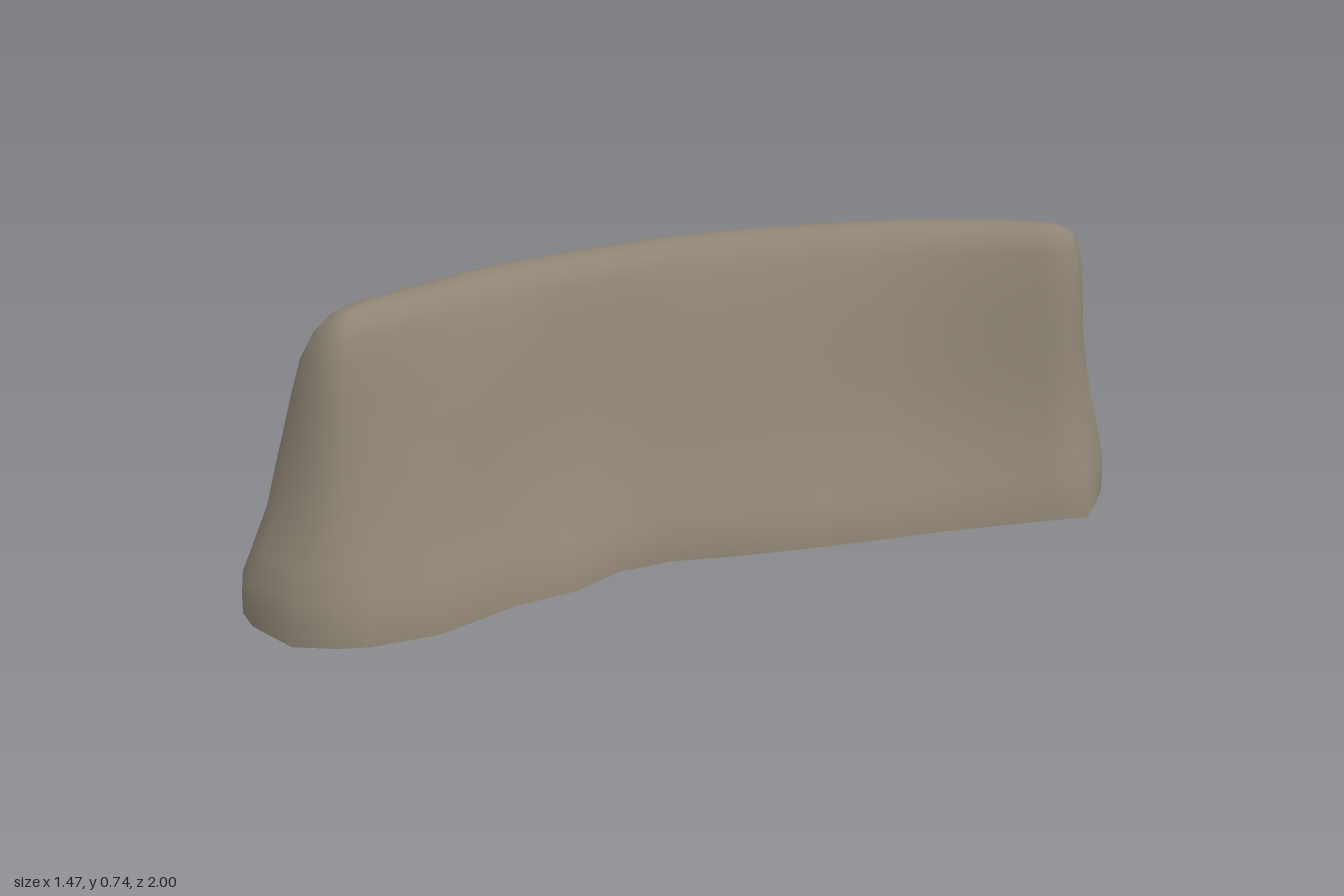
import * as THREE from 'three';
import { mergeVertices } from 'three/addons/utils/BufferGeometryUtils.js';

// Stations along the curved wall: outer foot x,z, inner foot x,z, ridge x,z
const STATIONS = [
  [-0.45, 1.0, -0.45, 1.0, -0.46, 0.72],
  [-0.6, 0.97, -0.36, 0.95, -0.465, 0.71],
  [-0.67, 0.93, -0.3, 0.9, -0.465, 0.68],
  [-0.735, 0.76, -0.21, 0.76, -0.455, 0.62],
  [-0.715, 0.58, -0.16, 0.54, -0.425, 0.5],
  [-0.735, 0.47, -0.09, 0.39, -0.405, 0.36],
  [-0.715, 0.25, -0.07, 0.24, -0.355, 0.22],
  [-0.65, 0.02, 0.0, 0.12, -0.265, 0.03],
  [-0.59, -0.14, 0.13, -0.01, -0.17, -0.15],
  [-0.38, -0.41, 0.27, -0.17, -0.03, -0.335],
  [-0.19, -0.69, 0.41, -0.34, 0.14, -0.505],
  [-0.04, -0.81, 0.48, -0.43, 0.28, -0.63],
  [0.22, -0.95, 0.57, -0.53, 0.42, -0.715],
  [0.42, -0.99, 0.67, -0.64, 0.5, -0.755],
  [0.53, -1.0, 0.735, -0.71, 0.53, -0.765],
  [0.61, -0.97, 0.715, -0.8, 0.54, -0.77],
  [0.69, -0.89, 0.69, -0.89, 0.545, -0.775],
];

// Side profile: height, outer lean, inner lean (0 = foot, 1 = edge of the ridge)
const PROFILE = [
  [0, 0, 0], [0.05, 0, 0.02], [0.11, 0.02, 0.12], [0.18, 0.15, 0.26], [0.27, 0.31, 0.41],
  [0.36, 0.39, 0.53], [0.45, 0.46, 0.64], [0.54, 0.53, 0.74], [0.62, 0.62, 0.84],
  [0.68, 0.77, 0.93], [0.72, 0.96, 1.02],
];
const HALF_RIDGE = 0.07;

// Closed loop of columns: along the outer side, then back along the inner side
function makeColumns() {
  const last = STATIONS.length - 1;
  const column = (i, inner) => {
    const s = STATIONS[i];
    const foot = new THREE.Vector2(s[inner ? 2 : 0], s[inner ? 3 : 1]);
    const ridge = new THREE.Vector2(s[4], s[5]);
    const edge = foot.clone().sub(ridge).setLength(HALF_RIDGE).add(ridge);
    // The two ends lean halfway between the outer and inner faces
    const fromEnd = Math.min(i, last - i);
    const side = 0.5 * Math.min(1, fromEnd / 3);
    return { foot, ridge, edge, blend: inner ? 0.5 + side : 0.5 - side };
  };
  const columns = [];
  for (let i = 0; i <= last; i++) columns.push(column(i, false));
  for (let i = last - 1; i > 0; i--) columns.push(column(i, true));
  return columns;
}

// Loft the loop up the profile and close it along the rounded ridge
function makeWall(columns) {
  const n = columns.length, pos = [], index = [];
  for (const [y, outer, inner] of PROFILE) {
    for (const c of columns) {
      const p = c.foot.clone().lerp(c.edge, THREE.MathUtils.lerp(outer, inner, c.blend));
      // Slight unevenness of the weathered faces
      const k = 0.01 * Math.sin(y * Math.PI / 0.72) * Math.sin(p.x * 9 + p.y * 13 + y * 8);
      p.add(p.clone().sub(c.ridge).setLength(k));
      pos.push(p.x, y, p.y);
    }
  }
  for (const [y, t] of [[0.736, 0.45], [0.741, 1]]) {
    for (const c of columns) {
      const p = c.edge.clone().lerp(c.ridge, t);
      pos.push(p.x, y, p.y);
    }
  }
  for (let r = 0; r < PROFILE.length + 1; r++) {
    for (let i = 0; i < n; i++) {
      const j = (i + 1) % n;
      const a = r * n + i, b = r * n + j, c = a + n, d = b + n;
      index.push(a, c, b, b, c, d);
    }
  }
  const geo = new THREE.BufferGeometry();
  geo.setAttribute('position', new THREE.Float32BufferAttribute(pos, 3));
  geo.setIndex(index);
  const welded = mergeVertices(geo, 1e-4);
  welded.computeVertexNormals();
  return welded;
}

export function createModel() {
  const group = new THREE.Group();
  group.name = 'curvedRockWall';
  const stone = new THREE.MeshStandardMaterial({ color: 0x8f8575 });
  stone.name = 'stone';

  const columns = makeColumns();
  const wall = new THREE.Mesh(makeWall(columns), stone);
  wall.name = 'wall';

  // Flat underside
  const under = new THREE.ShapeGeometry(new THREE.Shape(columns.map((c) => c.foot)));
  under.rotateX(Math.PI / 2);
  const underside = new THREE.Mesh(under, stone);
  underside.name = 'underside';

  group.add(wall, underside);
  return group;
}
